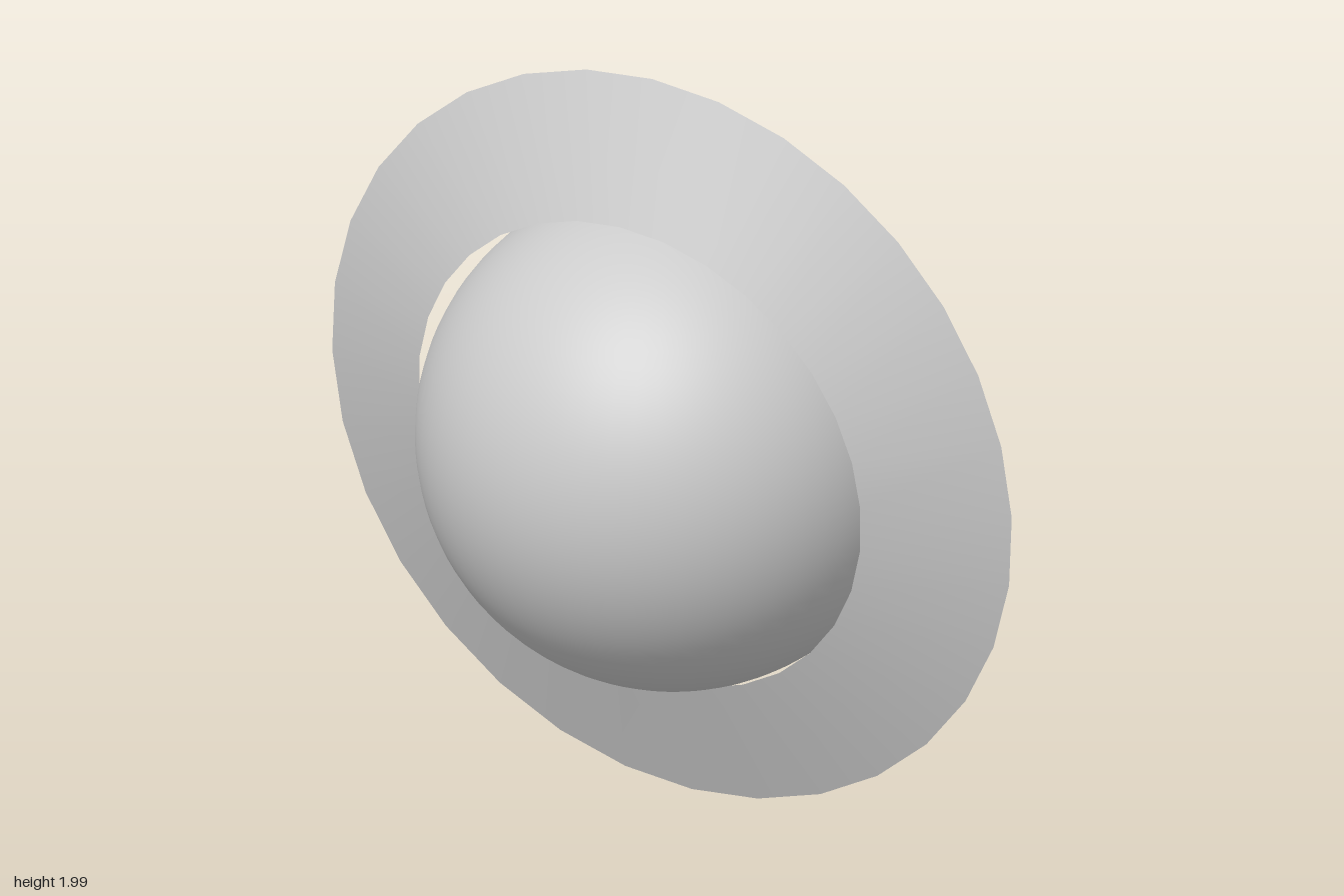
import * as THREE from 'three';

const CENTER_Y = 1.005;

// Flared open band between two tilted ellipses, inner edge pushed forward
function ringGeometry(segments) {
  const edges = [
    { rx: 0.649, ry: 0.649, z: 0.159, tilt: 0.095 }, // inner edge
    { rx: 1.0, ry: 0.995, z: 0.008, tilt: 0.093 },   // outer edge
  ];
  const geometry = new THREE.PlaneGeometry(1, 1, segments, 1);
  const pos = geometry.attributes.position;
  for (let row = 0; row < 2; row++) {
    const e = edges[row];
    for (let i = 0; i <= segments; i++) {
      const a = -(i / segments) * Math.PI * 2;
      pos.setXYZ(row * (segments + 1) + i,
        e.rx * Math.cos(a), e.ry * Math.sin(a), e.z + e.tilt * Math.sin(a));
    }
  }
  geometry.computeVertexNormals();
  // Blend the normals across the seam
  const normal = geometry.attributes.normal;
  for (let row = 0; row < 2; row++) {
    const first = row * (segments + 1), last = first + segments;
    const n = new THREE.Vector3().fromBufferAttribute(normal, first)
      .add(new THREE.Vector3().fromBufferAttribute(normal, last)).normalize();
    normal.setXYZ(first, n.x, n.y, n.z);
    normal.setXYZ(last, n.x, n.y, n.z);
  }
  // Keep the front of the band facing +z
  if (normal.getZ(0) < 0) {
    geometry.index.array.reverse();
    for (let i = 0; i < normal.count; i++) {
      normal.setXYZ(i, -normal.getX(i), -normal.getY(i), -normal.getZ(i));
    }
  }
  return geometry;
}

export function createModel() {
  const model = new THREE.Group();
  model.name = 'ringedPlanet';

  // Smooth globe
  const globe = new THREE.Mesh(
    new THREE.SphereGeometry(0.645, 64, 48),
    new THREE.MeshStandardMaterial({ color: 0xcccccc }));
  globe.name = 'globe';
  globe.position.y = CENTER_Y;

  // Thin ring, seen from both sides
  const ring = new THREE.Mesh(
    ringGeometry(32),
    new THREE.MeshStandardMaterial({ color: 0xcccccc, side: THREE.DoubleSide }));
  ring.name = 'ring';
  ring.position.y = CENTER_Y;

  model.add(globe, ring);
  return model;
}
